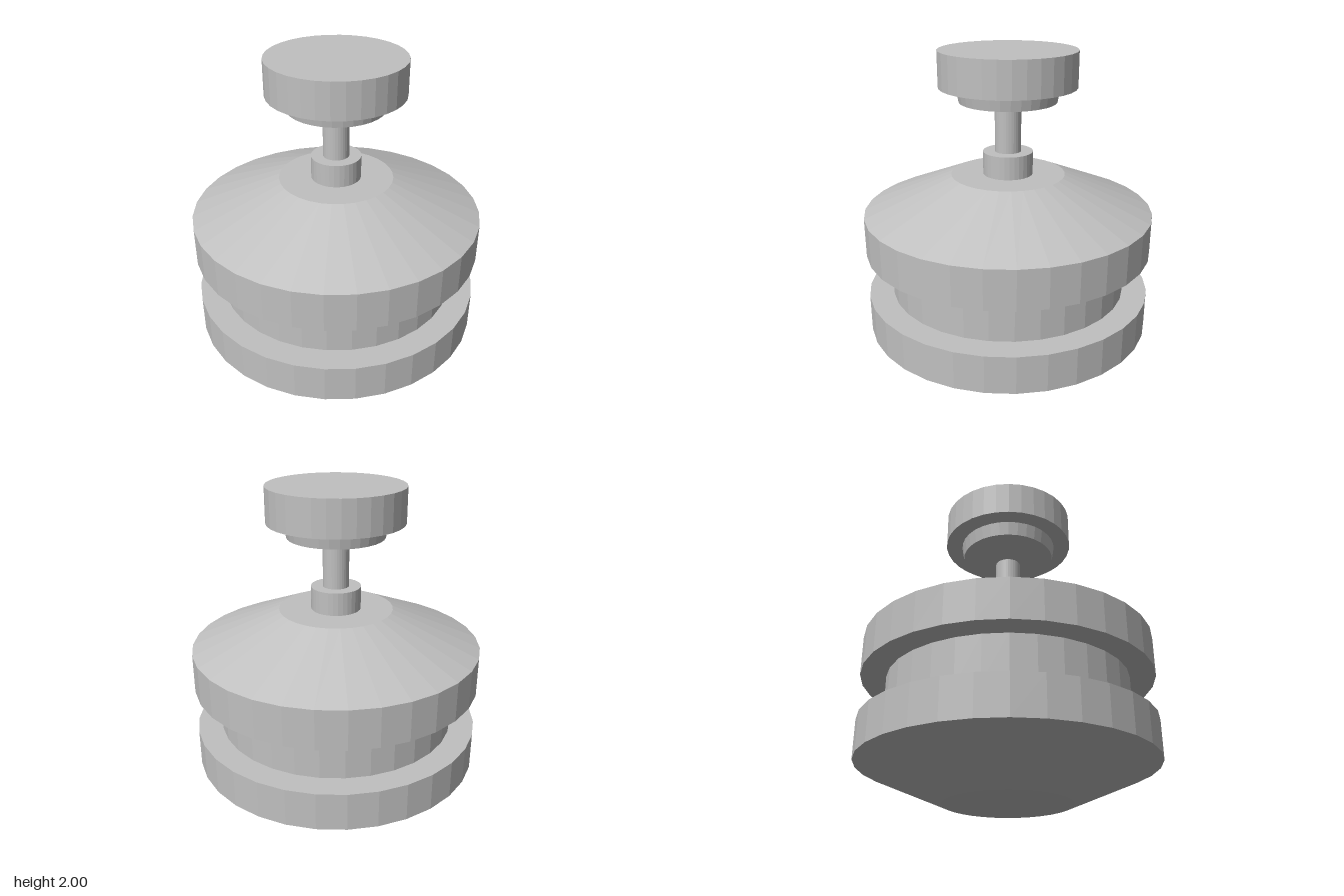
import * as THREE from 'three';

export function createModel() {
  const model = new THREE.Group();
  model.name = 'floatValve';
  const grey = new THREE.MeshStandardMaterial({ color: 0xc0c0c0 });
  grey.name = 'plain grey';
  grey.flatShading = true;

  // Turned part given by its bottom and top radius and height
  function turned(name, rBottom, rTop, y0, y1, openEnded = false) {
    const geometry = new THREE.CylinderGeometry(rTop, rBottom, y1 - y0, 32, 1, openEnded);
    geometry.translate(0, (y0 + y1) / 2, 0);
    const mesh = new THREE.Mesh(geometry, grey);
    mesh.name = name;
    model.add(mesh);
  }

  // Body: two flanged drums around a narrower core
  turned('bottomCone', 0.39, 0.917, 0, 0.222);
  turned('lowerDrum', 0.917, 0.917, 0.222, 0.462);
  turned('core', 0.76, 0.76, 0.462, 0.748);
  turned('upperDrum', 0.917, 0.917, 0.748, 0.996);
  turned('topCone', 0.917, 0.36, 0.996, 1.229);

  // Stem rising from a collar
  turned('collar', 0.157, 0.157, 1.229, 1.374);
  turned('stem', 0.082, 0.082, 1.374, 1.642);

  // Cup and cap of the knob
  turned('cupBase', 0.082, 0.303, 1.642, 1.688);
  turned('cup', 0.303, 0.317, 1.688, 1.778);
  turned('cap', 0.425, 0.425, 1.778, 2);

  return model;
}
